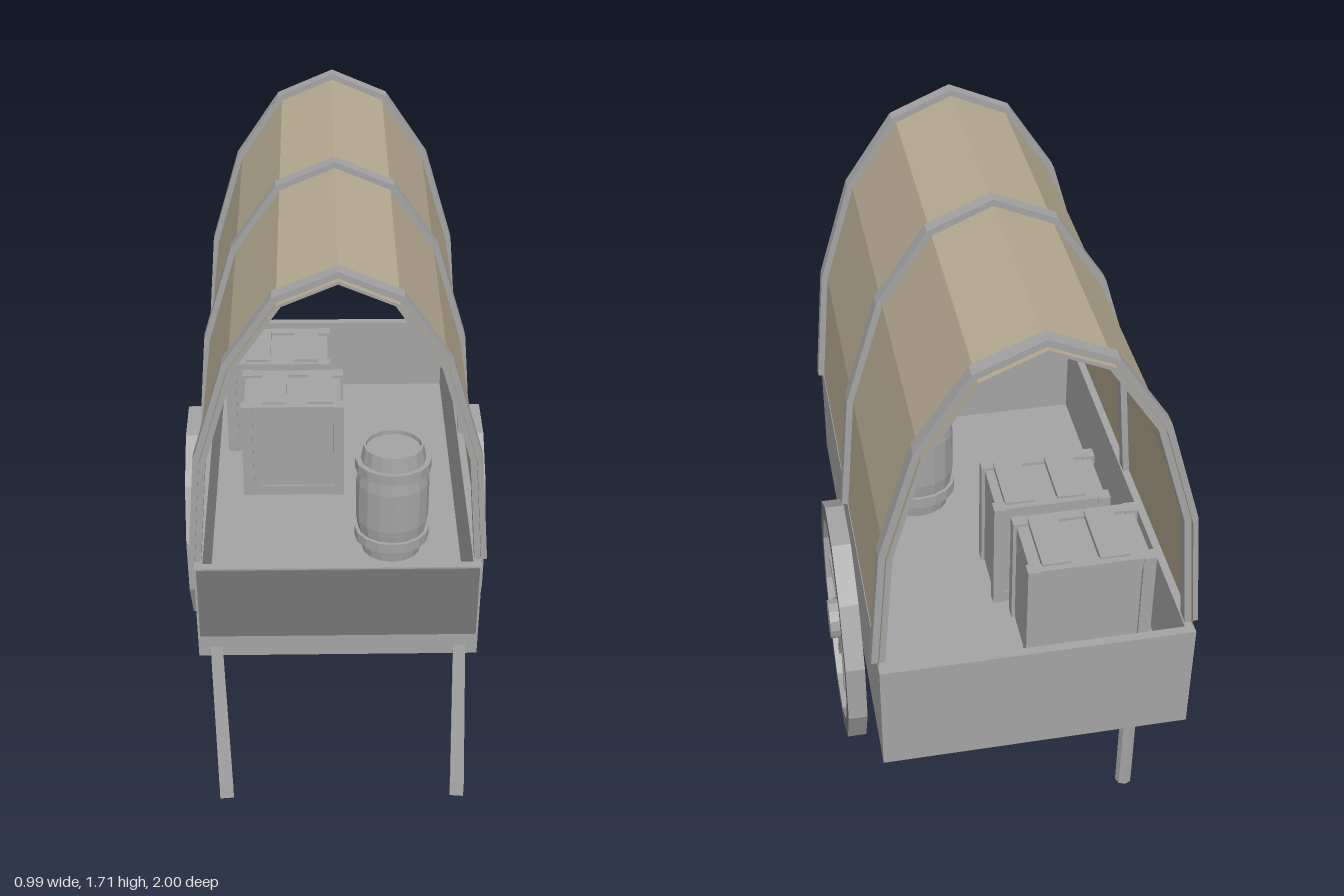
import * as THREE from 'three';

const mat = (name, color, side = THREE.FrontSide) => {
  const m = new THREE.MeshStandardMaterial({ color, flatShading: true, side });
  m.name = name;
  return m;
};

export function createModel() {
  const wood = mat('greyWood', 0xa3a3a3);
  const dark = mat('darkWood', 0x757575);
  const canvas = mat('canvas', 0xb5a98f, THREE.DoubleSide);
  const root = new THREE.Group();
  root.name = 'coveredCart';

  const add = (name, geo, material, parent = root) => {
    const m = new THREE.Mesh(geo, material);
    m.name = name;
    parent.add(m);
    return m;
  };
  // Box given by its lower and upper limits on each axis
  const box = (name, x0, x1, y0, y1, z0, z1, material = wood, parent = root) => {
    const m = add(name, new THREE.BoxGeometry(x1 - x0, y1 - y0, z1 - z0), material, parent);
    m.position.set((x0 + x1) / 2, (y0 + y1) / 2, (z0 + z1) / 2);
    return m;
  };

  // Cart bed: floor and four walls, with a dark front board
  box('floor', -0.415, 0.415, 0.425, 0.5, -1, 0.365);
  for (const s of [-1, 1]) {
    const x = s * 0.403;
    box('sideWall', x - 0.012, x + 0.012, 0.5, 0.762, -1, 0.365);
  }
  box('frontWall', -0.391, 0.391, 0.5, 0.762, 0.341, 0.365);
  box('backWall', -0.391, 0.391, 0.5, 0.762, -1, -0.976);
  box('frontBoard', -0.408, 0.408, 0.505, 0.757, 0.363, 0.369, dark);

  // Pull shafts, leaning up and inward
  for (const s of [-1, 1]) {
    const a = new THREE.Vector3(s * 0.362, 0.437, 0.36);
    const b = new THREE.Vector3(s * 0.303, 0.532, 0.997);
    const shaft = add('pullShaft', new THREE.BoxGeometry(0.036, 0.044, a.distanceTo(b)), wood);
    shaft.position.copy(a).lerp(b, 0.5);
    shaft.lookAt(b);
  }

  // Single prop leg
  const leg = add('propLeg', new THREE.CylinderGeometry(0.024, 0.024, 0.43, 8), wood);
  leg.position.set(-0.309, 0.215, -0.828);

  // Canopy arch, from left foot over the top to right foot
  const half = [[0.413, 0.762], [0.383, 1.12], [0.293, 1.425], [0.16, 1.625]];
  const arch = [...half, [0, 1.695], ...half.slice().reverse().map(([x, y]) => [-x, y])]
    .map(([x, y]) => new THREE.Vector2(x, y));
  const offsetArch = (d) => arch.map((p, i) => {
    const t = arch[Math.min(i + 1, arch.length - 1)].clone().sub(arch[Math.max(i - 1, 0)]).normalize();
    return new THREE.Vector2(p.x + t.y * d, p.y - t.x * d);
  });
  const hoopShape = new THREE.Shape([...offsetArch(0.018), ...offsetArch(-0.018).reverse()]);
  for (const z of [0.312, -0.315, -0.942]) {
    const hoop = add('canopyHoop', new THREE.ExtrudeGeometry(hoopShape, { depth: 0.038, bevelEnabled: false }), wood);
    hoop.position.z = z - 0.019;
  }

  // Canvas sheet along the arch
  const verts = [];
  const zb = -0.975, zf = 0.347;
  for (let i = 0; i < arch.length - 1; i++) {
    const p = arch[i], q = arch[i + 1];
    verts.push(p.x, p.y, zb, q.x, q.y, zb, q.x, q.y, zf);
    verts.push(p.x, p.y, zb, q.x, q.y, zf, p.x, p.y, zf);
  }
  const sheet = new THREE.BufferGeometry();
  sheet.setAttribute('position', new THREE.Float32BufferAttribute(verts, 3));
  sheet.computeVertexNormals();
  add('canvasCover', sheet, canvas);

  // Wheels: twelve-sided rim, twelve spokes and a hub
  const ring = (r) => Array.from({ length: 12 }, (_, i) => {
    const a = (i + 0.5) * Math.PI / 6;
    return new THREE.Vector2(Math.cos(a) * r, Math.sin(a) * r);
  });
  const rimShape = new THREE.Shape(ring(0.375));
  rimShape.holes.push(new THREE.Path(ring(0.322)));
  const rimGeo = new THREE.ExtrudeGeometry(rimShape, { depth: 0.054, bevelEnabled: false });
  rimGeo.translate(0, 0, -0.027).rotateY(Math.PI / 2);
  const hubGeo = new THREE.CylinderGeometry(0.062, 0.062, 0.088, 12).rotateZ(Math.PI / 2);
  const spokeGeo = new THREE.BoxGeometry(0.026, 0.29, 0.028).translate(0, 0.18, 0);
  for (const s of [-1, 1]) {
    const wheel = new THREE.Group();
    wheel.name = s > 0 ? 'leftWheel' : 'rightWheel';
    wheel.position.set(s * 0.452, 0.383, -0.402);
    wheel.scale.z = 0.85;
    add('rim', rimGeo, [dark, wood], wheel);
    add('hub', hubGeo, wood, wheel);
    for (let i = 0; i < 12; i++) add('spoke', spokeGeo, wood, wheel).rotation.x = i * Math.PI / 6;
    root.add(wheel);
  }

  // Framed crates with corner posts, lid slats and a diagonal brace
  const crate = (x0, x1, z0, z1) => {
    const g = new THREE.Group();
    g.name = 'crate';
    root.add(g);
    box('crateBody', x0 + 0.01, x1 - 0.01, 0.5, 0.84, z0 + 0.01, z1 - 0.01, wood, g);
    const t = 0.035;
    for (const x of [x0, x1 - t]) for (const z of [z0, z1 - t]) {
      box('cornerPost', x, x + t, 0.5, 0.85, z, z + t, wood, g);
    }
    for (const y of [0.5, 0.815]) for (const z of [z0, z1 - t]) {
      box('rail', x0 + t, x1 - t, y, y + t, z + 0.003, z + t - 0.003, wood, g);
    }
    for (const f of [0.2, 0.65]) {
      const x = x0 + (x1 - x0) * f;
      box('lidSlat', x, x + 0.08, 0.838, 0.857, z0 + 0.02, z1 - 0.02, wood, g);
    }
    const w = x1 - x0 - 0.07, h = 0.28;
    const brace = add('brace', new THREE.BoxGeometry(Math.hypot(w, h), 0.03, 0.012), wood, g);
    brace.position.set((x0 + x1) / 2, 0.675, z1 - 0.008);
    brace.rotation.z = Math.atan2(h, w);
  };
  crate(-0.3, 0.03, -0.54, -0.32);
  crate(-0.36, -0.01, -0.8, -0.57);

  // Barrel with two bands
  const lathe = (name, pts) => {
    const m = add(name, new THREE.LatheGeometry(pts.map(([r, y]) => new THREE.Vector2(r, y)), 16), wood);
    m.position.set(0.175, 0.5, -0.05);
    m.scale.z = 0.85;
  };
  lathe('barrel', [[0, 0], [0.092, 0], [0.113, 0.13], [0.113, 0.27], [0.092, 0.4], [0.085, 0.4], [0.085, 0.385], [0, 0.385]]);
  for (const y of [0.05, 0.315]) {
    lathe('barrelBand', [[0.09, y], [0.117, y], [0.117, y + 0.035], [0.09, y + 0.035]]);
  }

  return root;
}
